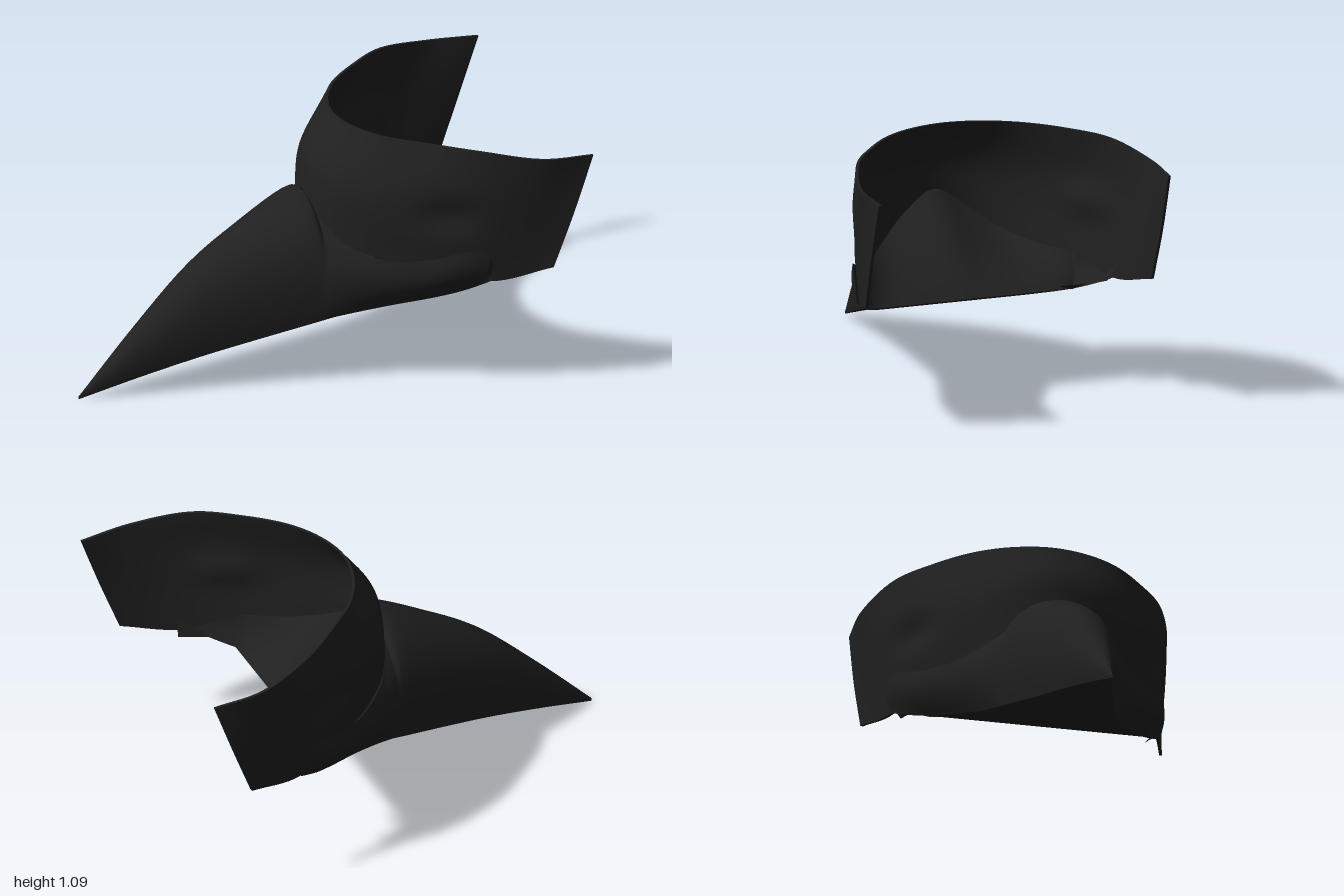
import * as THREE from 'three';

const black = new THREE.MeshStandardMaterial({ color: 0x202020, side: THREE.DoubleSide });
black.name = 'black leather';

const V = (a) => new THREE.Vector3(...a);
const spline = (pts) => new THREE.CatmullRomCurve3(pts);

// Smooth sheet from a rule p(u, v) with u and v in 0..1
function sheet(name, nu, nv, p) {
  const pos = [], index = [], row = nv + 1;
  for (let i = 0; i <= nu; i++)
    for (let j = 0; j <= nv; j++) pos.push(...p(i / nu, j / nv).toArray());
  for (let i = 0; i < nu; i++)
    for (let j = 0; j < nv; j++) {
      const a = i * row + j, b = a + row;
      index.push(a, b, a + 1, b, b + 1, a + 1);
    }
  const g = new THREE.BufferGeometry();
  g.setAttribute('position', new THREE.Float32BufferAttribute(pos, 3));
  g.setIndex(index);
  g.computeVertexNormals();
  const mesh = new THREE.Mesh(g, black);
  mesh.name = name;
  return mesh;
}

// Half of a face band line, mirrored over z = 0 into one curve
function bandCurve(half) {
  const mirrored = half.slice(1).reverse().map(([x, y, z]) => [x, y, -z]);
  return spline([...mirrored, ...half].map(V));
}

// Face band: lower, middle and upper lines, from nose to side end
const lower = bandCurve([[-.02, .78, 0], [0, .70, .14], [.07, .62, .255], [.2, .575, .365],
  [.38, .56, .48], [.58, .5, .56], [.83, .55, .63]]);
const middle = bandCurve([[0, .92, 0], [.03, .9, .16], [.1, .86, .28], [.23, .84, .4],
  [.43, .82, .53], [.65, .79, .602], [.915, .78, .638]]);
const upper = bandCurve([[.11, 1.09, 0], [.14, 1.09, .15], [.22, 1.09, .29], [.37, 1.09, .43],
  [.54, 1.08, .555], [.78, 1.04, .638], [1, 1.025, .638]]);
const THICKNESS = 0.012;

// Point on the band at depth d below its outer face, with a hollow on each cheek
function bandPoint(u, v, d) {
  const p = spline([lower, middle, upper].map((c) => c.getPoint(u))).getPoint(v);
  const t = middle.getTangent(u);
  const dent = 0.03 * Math.exp(-(((p.x - .41) / .11) ** 2) - ((p.y - .79) / .07) ** 2);
  return p.addScaledVector(new THREE.Vector3(-t.z, 0, t.x).normalize(), -d - dent);
}

// Beak sections: top point, then bottom edge point, from tip to cheek
const sections = [
  [[-1, .015, 0], [-1, .002, 0]],
  [[-.75, .28, 0], [-.75, .085, .058]],
  [[-.5, .52, 0], [-.5, .16, .115]],
  [[-.3, .65, 0], [-.3, .215, .165]],
  [[-.03, .78, 0], [-.05, .285, .235]],
  [[0, .70, .145], [.02, .305, .255]],
  [[.07, .62, .265], [.1, .325, .285]],
  [[.2, .58, .38], [.22, .36, .345]],
  [[.36, .6, .483], [.39, .415, .45]],
  [[.5, .645, .557], [.48, .453, .51]],
  [[.575, .63, .58], [.55, .487, .55]],
  [[.585, .59, .58], [.58, .505, .57]],
];
const beakTop = spline(sections.map((s) => V(s[0])));
const beakBottom = spline(sections.map((s) => V(s[1])));

// Elliptical arc from the ridge or cheek seam (k = 0) to the bottom edge (k = 1)
function beakPoint(k, t, side) {
  const top = beakTop.getPoint(t), bottom = beakBottom.getPoint(t);
  const z = Math.max(0, top.z);
  const start = Math.asin(z / (z + .1));
  const a = start + (Math.PI / 2 - start) * k;
  const down = Math.cos(a) / Math.cos(start);
  const out = (Math.sin(a) - Math.sin(start)) / (1 - Math.sin(start));
  const bulge = .35 * (1 - t) * bottom.z * Math.sin(Math.PI * k);
  return new THREE.Vector3(
    bottom.x + (top.x - bottom.x) * down,
    bottom.y + (top.y - bottom.y) * down,
    side * (z + (bottom.z - z) * out + bulge));
}

export function createModel() {
  const group = new THREE.Group();
  group.name = 'beaked mask';

  // Band around the face: two faces and the rims joining them
  group.add(
    sheet('bandOuterFace', 96, 20, (u, v) => bandPoint(u, v, 0)),
    sheet('bandInnerFace', 96, 20, (u, v) => bandPoint(1 - u, v, THICKNESS)));
  for (const [name, v] of [['bandLowerRim', 0], ['bandUpperRim', 1]])
    group.add(sheet(name, 96, 1, (u, w) => bandPoint(u, v, w * THICKNESS)));
  for (const [name, u] of [['bandRightEnd', 0], ['bandLeftEnd', 1]])
    group.add(sheet(name, 20, 1, (v, w) => bandPoint(u, v, w * THICKNESS)));

  // Arched beak, one mirrored half for each side
  group.add(
    sheet('beakLeft', 24, 66, (u, v) => beakPoint(u, v, 1)),
    sheet('beakRight', 24, 66, (u, v) => beakPoint(1 - u, v, -1)));

  // Flat underside of the beak
  group.add(sheet('beakUnderside', 48, 4, (u, v) => {
    const p = beakBottom.getPoint(u * 8 / 11);
    p.z *= 2 * v - 1;
    return p;
  }));

  // Sloped lining that closes the beak behind, from the band down to the underside
  group.add(sheet('beakLining', 48, 8, (u, v) => {
    const p = bandPoint((1 + 4 * u) / 6, 0, THICKNESS);
    return p.lerp(new THREE.Vector3(.39, .415, .45 * (2 * u - 1)), v);
  }));

  // Small folded tabs inside the lower edge
  const tab = (name, pts) => {
    const g = new THREE.BufferGeometry().setFromPoints(pts.map(V));
    g.computeVertexNormals();
    const mesh = new THREE.Mesh(g, black);
    mesh.name = name;
    group.add(mesh);
  };
  for (const s of [1, -1])
    tab('sideTab', [[.48, .455, .51 * s], [.62, .5, .51 * s], [.6, .58, .575 * s]]);
  tab('innerTab', [[.4, .415, -.44], [.46, .45, -.36], [.46, .45, -.48]]);
  return group;
}
